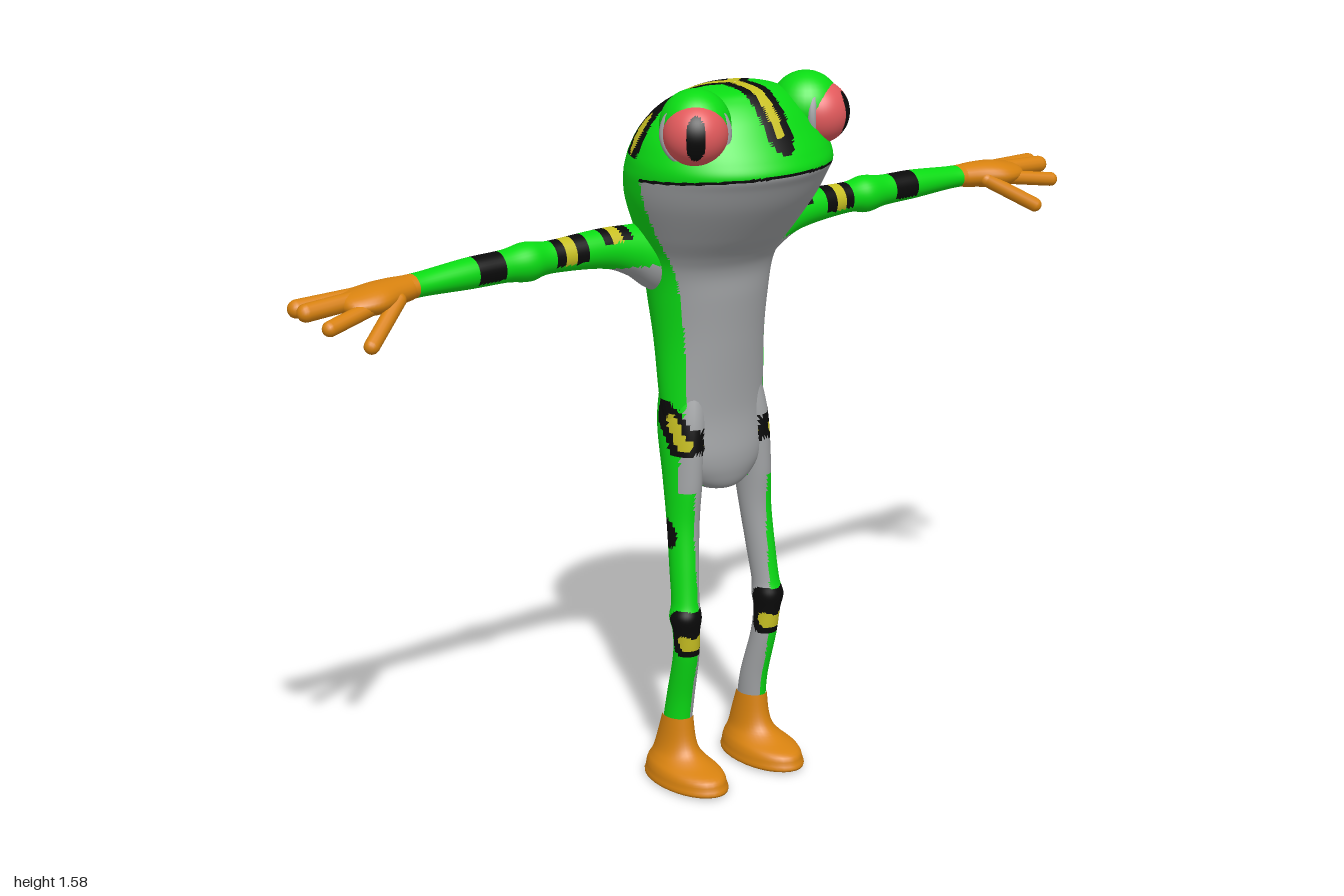
import * as THREE from 'three';

const mat = (name, color) => Object.assign(new THREE.MeshStandardMaterial({ color }), { name });
const GREEN = 0, GREY = 1, BLACK = 2, YELLOW = 3, ORANGE = 4, RED = 5;
const MATS = [
  mat('skin green', 0x0adc14), mat('belly grey', 0xa2a4a6), mat('marking black', 0x0a0a0a),
  mat('marking yellow', 0xc8c022), mat('hand and foot orange', 0xd8820f), mat('eye red', 0xe25a5c),
];

const cubic = (a, b, c, d, t) =>
  b + 0.5 * t * (c - a + t * (2 * a - 5 * b + 4 * c - d + t * (3 * (b - c) + d - a)));

// Smooth skin over elliptical sections [t, c1, c2, r1, r2] along y (c = x, z) or z (c = x, y).
// paint(x, y, |z|) gives the material index of each face.
function loft(name, sections, { axis = 'y', side = 1, paint, seg = 40, sub = 8 }) {
  const rings = [], n = sections.length;
  for (let i = 0; i < n - 1; i++) {
    const [a, b, c, d] = [i - 1, i, i + 1, i + 2].map(k => sections[Math.min(n - 1, Math.max(0, k))]);
    for (let s = 0; s < sub; s++) rings.push(b.map((_, k) => cubic(a[k], b[k], c[k], d[k], s / sub)));
  }
  rings.push(sections[n - 1]);
  const pos = [];
  for (const [t, c1, c2, r1, r2] of rings) {
    for (let j = 0; j < seg; j++) {
      const a = (j / seg) * Math.PI * 2;
      const u = c1 + r1 * Math.cos(a), v = c2 + r2 * Math.sin(a);
      if (axis === 'y') pos.push(u, t, v * side);
      else pos.push(u, v, t * side);
    }
  }
  const flip = (axis === 'z') !== (side < 0);
  const buckets = MATS.map(() => []);
  const face = (a, b, c) => {
    const mid = k => (pos[a * 3 + k] + pos[b * 3 + k] + pos[c * 3 + k]) / 3;
    const az = (Math.abs(pos[a * 3 + 2]) + Math.abs(pos[b * 3 + 2]) + Math.abs(pos[c * 3 + 2])) / 3;
    buckets[paint(mid(0), mid(1), az, mid(2))].push(...(flip ? [a, c, b] : [a, b, c]));
  };
  for (let i = 0; i < rings.length - 1; i++) {
    for (let j = 0; j < seg; j++) {
      const k = (j + 1) % seg, a = i * seg + j, b = i * seg + k;
      face(a, a + seg, b);
      face(b, a + seg, b + seg);
    }
  }
  const g = new THREE.BufferGeometry();
  g.setAttribute('position', new THREE.Float32BufferAttribute(pos, 3));
  g.setIndex(buckets.flat());
  let start = 0;
  buckets.forEach((b, m) => {
    if (b.length) g.addGroup(start, b.length, m);
    start += b.length;
  });
  g.computeVertexNormals();
  const mesh = new THREE.Mesh(g, MATS);
  mesh.name = name;
  return mesh;
}

// Is the point (p, q) within r of the segment a-b?
function near(p, q, [ax, ay], [bx, by], r) {
  const dx = bx - ax, dy = by - ay;
  const t = Math.min(1, Math.max(0, ((p - ax) * dx + (q - ay) * dy) / (dx * dx + dy * dy || 1)));
  return Math.hypot(p - ax - t * dx, q - ay - t * dy) < r;
}

// Markings: a region, plane coordinates, a segment, its radius and colour; the first match wins
const inTop = (x, y) => y > 1.42, inBack = x => x < -0.1;
const inSide = (x, y, z) => z > 0.075 && y < 0.95;
const XZ = (x, y, z) => [x, z], YZ = (x, y, z) => [y, z], XY = (x, y) => [x, y];
const MARKS = [
  [inTop, XZ, [0.16, 0], [0.01, 0], 0.013, YELLOW],
  [inTop, XZ, [0.01, 0], [-0.05, 0.065], 0.013, YELLOW],
  [inTop, XZ, [-0.068, 0.165], [-0.062, 0.19], 0.016, YELLOW],
  [inTop, XZ, [0.16, 0], [0, 0], 0.033, BLACK],
  [inTop, XZ, [0, 0], [-0.068, 0.08], 0.036, BLACK],
  [inTop, XZ, [-0.068, 0.08], [-0.062, 0.195], 0.036, BLACK],
  ...[1.44, 1.375, 1.31].map(y => [inBack, YZ, [y - 0.008, 0], [y + 0.008, 0], 0.018, YELLOW]),
  [inBack, YZ, [1.45, 0], [1.3, 0], 0.04, BLACK],
  [inBack, YZ, [1.22, 0.06], [0.88, 0.06], 0.011, YELLOW],
  [inBack, YZ, [1.24, 0.06], [0.86, 0.06], 0.026, BLACK],
  [inSide, XY, [-0.04, 0.835], [-0.005, 0.785], 0.014, YELLOW],
  [inSide, XY, [-0.06, 0.845], [-0.01, 0.79], 0.033, BLACK],
  [inSide, XY, [-0.045, 0.59], [-0.038, 0.575], 0.025, BLACK],
  [inSide, XY, [0.012, 0.345], [0.016, 0.335], 0.013, YELLOW],
  [inSide, XY, [0.01, 0.39], [0.01, 0.335], 0.028, BLACK],
];
function skin(x, y, z) {
  for (const [region, plane, a, b, r, colour] of MARKS) {
    if (region(x, y, z) && near(...plane(x, y, z), a, b, r)) return colour;
  }
  if (y < 0.68) return z < 0.1 ? GREY : GREEN;
  const lip = 1.382 + 0.085 * x;
  if (x > -0.015 && Math.abs(y - lip) < 0.003) return BLACK;
  return x > -0.013 && y < lip ? GREY : GREEN;
}

function armPaint(x, y, z) {
  if (z > 0.73) return ORANGE;
  if (z < 0.26 && y < 1.185) return GREY;
  if (z > 0.525 && z < 0.59 && y > 1.212) return BLACK;
  if (z > 0.325 && z < 0.4 && y > 1.215) return z > 0.35 && z < 0.378 ? YELLOW : BLACK;
  if (z > 0.21 && z < 0.28 && y > 1.245) return z > 0.235 && z < 0.258 ? YELLOW : BLACK;
  return GREEN;
}

// Torso and head: y, back x, front x, half width
const BODY = [
  [0.668, -0.04, -0.02, 0.001], [0.672, -0.065, 0.005, 0.045], [0.7, -0.085, 0.02, 0.085],
  [0.75, -0.1, 0.027, 0.112], [0.85, -0.132, 0.02, 0.127], [1.0, -0.165, 0.03, 0.13],
  [1.1, -0.183, 0.04, 0.14], [1.16, -0.183, 0.046, 0.15], [1.2, -0.182, 0.066, 0.16],
  [1.25, -0.197, 0.108, 0.182], [1.32, -0.214, 0.162, 0.21], [1.37, -0.21, 0.192, 0.222],
  [1.4, -0.202, 0.208, 0.224], [1.43, -0.188, 0.197, 0.218], [1.47, -0.163, 0.172, 0.2],
  [1.51, -0.128, 0.145, 0.165], [1.54, -0.08, 0.115, 0.12], [1.557, -0.035, 0.085, 0.07],
  [1.563, 0.02, 0.022, 0.001],
].map(([y, b, f, h]) => [y, (b + f) / 2, 0, (f - b) / 2, h]);

const LEG = [
  [0.13, -0.05, 0.105, 0.036, 0.029], [0.2, -0.038, 0.104, 0.033, 0.029], [0.3, -0.012, 0.109, 0.03, 0.028],
  [0.36, -0.006, 0.113, 0.031, 0.029], [0.395, -0.006, 0.115, 0.036, 0.035], [0.43, -0.01, 0.112, 0.032, 0.03],
  [0.5, -0.02, 0.107, 0.034, 0.031], [0.6, -0.032, 0.1, 0.038, 0.034], [0.7, -0.04, 0.095, 0.052, 0.037],
  [0.82, -0.055, 0.085, 0.066, 0.043], [0.92, -0.065, 0.07, 0.06, 0.04],
];
const FOOT = [
  [0, -0.015, 0.108, 0.001, 0.001], [0.001, -0.015, 0.108, 0.112, 0.064], [0.02, -0.015, 0.108, 0.117, 0.067],
  [0.038, -0.019, 0.108, 0.11, 0.062], [0.052, -0.038, 0.107, 0.082, 0.052], [0.07, -0.05, 0.106, 0.062, 0.042],
  [0.1, -0.053, 0.105, 0.05, 0.036], [0.15, -0.048, 0.105, 0.038, 0.031],
];
const ARM = [
  [0.06, -0.09, 1.17, 0.06, 0.08], [0.14, -0.09, 1.19, 0.055, 0.073], [0.2, -0.09, 1.213, 0.046, 0.054],
  [0.27, -0.09, 1.228, 0.039, 0.042], [0.4, -0.09, 1.232, 0.033, 0.034], [0.455, -0.09, 1.232, 0.041, 0.041],
  [0.51, -0.09, 1.232, 0.034, 0.034], [0.6, -0.09, 1.232, 0.033, 0.032], [0.71, -0.09, 1.23, 0.03, 0.025],
  [0.76, -0.09, 1.228, 0.035, 0.025],
];
const PALM = [
  [0.74, -0.09, 1.228, 0.032, 0.025], [0.78, -0.086, 1.227, 0.041, 0.028], [0.83, -0.078, 1.224, 0.054, 0.03],
  [0.87, -0.08, 1.222, 0.053, 0.025], [0.9, -0.085, 1.222, 0.04, 0.016], [0.91, -0.085, 1.222, 0.001, 0.001],
];
// Fingers: start, end, radius
const FINGERS = [
  [[-0.1, 1.228, 0.84], [-0.115, 1.222, 0.982], 0.019],
  [[-0.085, 1.228, 0.84], [-0.08, 1.222, 0.982], 0.019],
  [[-0.055, 1.222, 0.82], [-0.022, 1.2, 0.965], 0.016],
  [[-0.05, 1.22, 0.79], [0.006, 1.157, 0.89], 0.016],
];

function finger([a, b, r], side) {
  const p = new THREE.Vector3(...a), q = new THREE.Vector3(...b);
  p.z *= side; q.z *= side;
  const dir = q.clone().sub(p);
  const m = new THREE.Mesh(new THREE.CapsuleGeometry(r, dir.length(), 6, 14), MATS[ORANGE]);
  m.position.copy(p).add(q).multiplyScalar(0.5);
  m.quaternion.setFromUnitVectors(new THREE.Vector3(0, 1, 0), dir.normalize());
  m.name = 'finger';
  return m;
}

// Eye group built facing +x, then turned outwards
function eye(side) {
  const g = new THREE.Group(), R = 0.067, ball = [];
  for (let i = 0; i <= 12; i++) {
    const a = (i / 12 - 0.5) * Math.PI, r = Math.max(0.0005, R * Math.cos(a));
    ball.push([R * Math.sin(a), 0, 0, r, r]);
  }
  g.add(loft('eyeball', ball, {
    seg: 64, sub: 4,
    paint: (x, y, az, z) => (x > 0 && Math.hypot(z / 0.021, y / 0.046) < 1 ? BLACK : RED),
  }));
  const rim = new THREE.Mesh(new THREE.TorusGeometry(0.065, 0.009, 10, 40), MATS[GREY]);
  rim.rotation.y = Math.PI / 2;
  rim.position.x = 0.002;
  rim.name = 'eyeRim';
  const lid = new THREE.Mesh(new THREE.SphereGeometry(0.074, 32, 20), MATS[GREEN]);
  lid.position.set(-0.026, 0.012, 0);
  lid.name = 'eyelid';
  g.add(rim, lid);
  g.position.set(0.095, 1.49, 0.162 * side);
  g.rotation.y = -side * 0.65;
  g.name = side > 0 ? 'eyePositiveZ' : 'eyeNegativeZ';
  return g;
}

export function createModel() {
  const model = new THREE.Group();
  model.name = 'treeFrog';
  model.add(loft('bodyAndHead', BODY, { paint: skin, seg: 112, sub: 10 }));
  for (const side of [1, -1]) {
    const orange = () => ORANGE;
    const hand = new THREE.Group();
    hand.name = 'hand';
    hand.add(loft('palm', PALM, { axis: 'z', side, paint: orange, seg: 24, sub: 4 }));
    FINGERS.forEach(f => hand.add(finger(f, side)));
    model.add(
      loft('leg', LEG, { side, paint: skin, seg: 36, sub: 10 }),
      loft('foot', FOOT, { side, paint: orange, seg: 32, sub: 4 }),
      loft('arm', ARM, { axis: 'z', side, paint: armPaint, seg: 32, sub: 10 }),
      hand, eye(side),
    );
  }
  return model;
}
